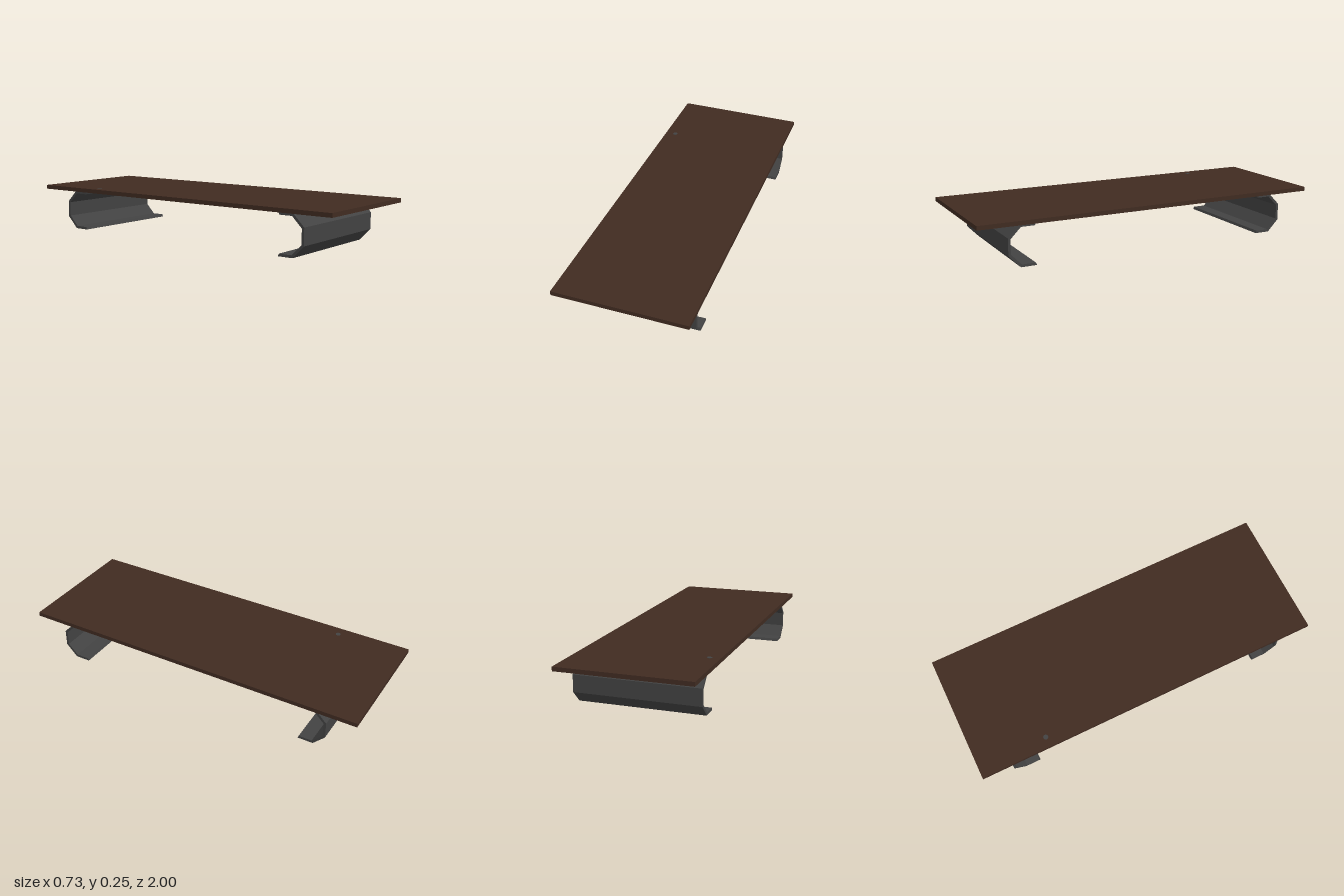
import * as THREE from 'three';

const darkWood = new THREE.MeshStandardMaterial({ name: 'darkWood', color: 0x402b21 });
const darkMetal = new THREE.MeshStandardMaterial({ name: 'darkMetal', color: 0x424242 });

// Half-octagon channel: outer corners out, inner corners back, mitred ends
function legShape(outer) {
  const s = new THREE.Shape();
  const d = (z) => outer - z;
  [
    [d(0.152), 0], [d(0.065), 0], [outer, 0.066], [outer, 0.159], [d(0.065), 0.224], [d(0.152), 0.224],
    [d(0.146), 0.21], [d(0.071), 0.21], [d(0.014), 0.153], [d(0.014), 0.072], [d(0.071), 0.014], [d(0.146), 0.014],
  ].forEach(([z, y], i) => (i ? s.lineTo(z, y) : s.moveTo(z, y)));
  s.closePath();
  return s;
}

function addMesh(group, name, geometry, material, x, y, z) {
  const mesh = new THREE.Mesh(geometry, material);
  mesh.name = name;
  mesh.position.set(x, y, z);
  group.add(mesh);
  return mesh;
}

export function createModel() {
  const model = new THREE.Group();
  model.name = 'lowTable';

  // Long thin top
  addMesh(model, 'tableTop', new THREE.BoxGeometry(0.727, 0.023, 2), darkWood, 0, 0.2355, 0);

  // Bent legs, open towards the middle; extruded across the width
  const width = 0.685;
  const legGeometry = (outer) =>
    new THREE.ExtrudeGeometry(legShape(outer), { depth: width, bevelEnabled: false });
  const front = addMesh(model, 'frontLeg', legGeometry(0.834), darkMetal, width / 2 - 0.001, 0, 0);
  front.rotation.y = -Math.PI / 2;
  front.scale.z = 1;
  front.position.x = width / 2 - 0.001;
  const back = addMesh(model, 'backLeg', legGeometry(0.829), darkMetal, -width / 2 - 0.001, 0, 0);
  back.rotation.y = Math.PI / 2;

  // Small round cap set into the top near a back corner
  addMesh(model, 'topCap', new THREE.CylinderGeometry(0.014, 0.014, 0.002, 12), darkMetal, -0.305, 0.2468, -0.605);

  return model;
}
